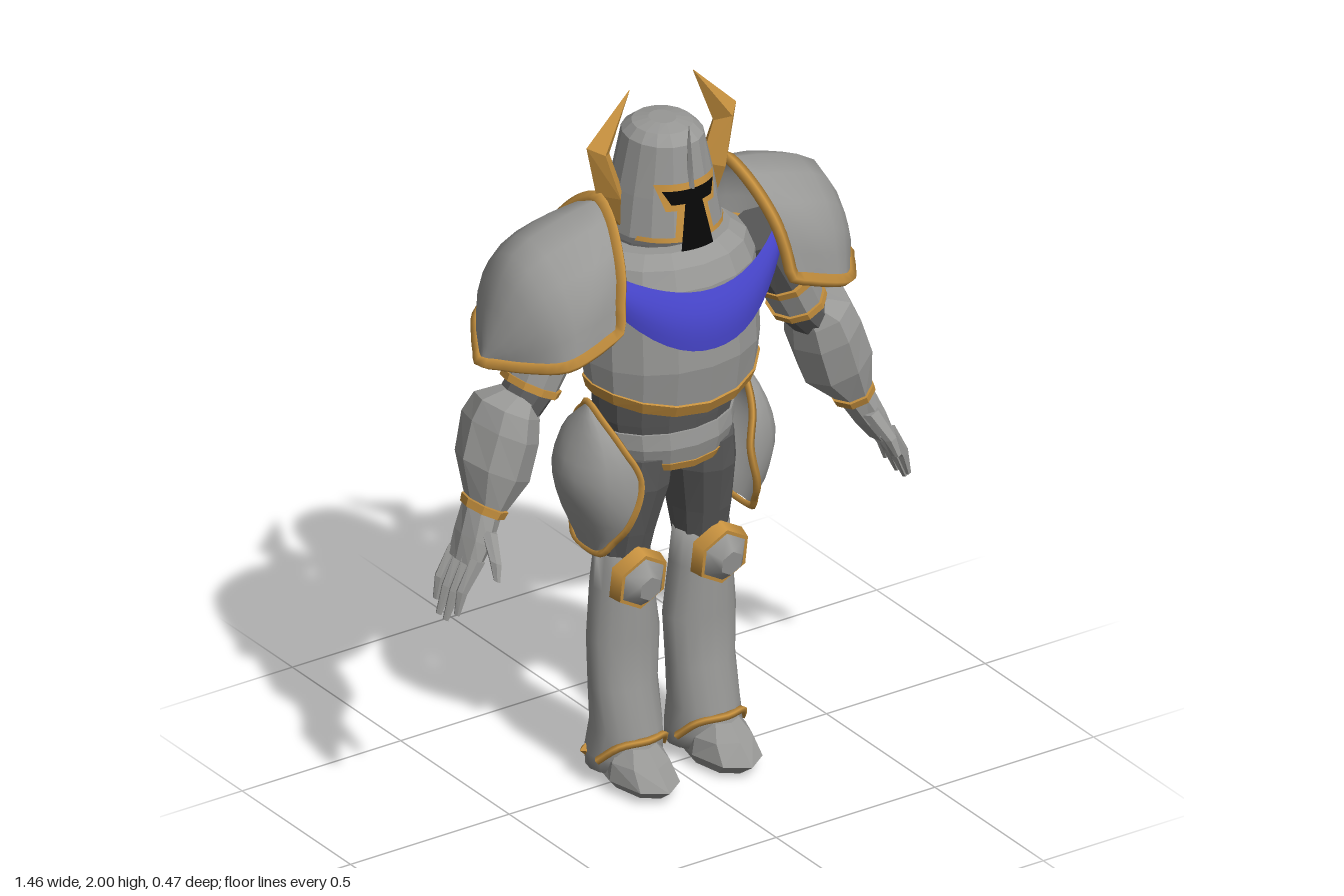
import * as THREE from 'three';

const material = (name, color) => {
  const m = new THREE.MeshStandardMaterial({ color, side: THREE.DoubleSide });
  m.name = name;
  return m;
};

// Closed skin over elliptical rings, listed bottom to top: [x, y, z, rx, rz, tilt, drop]
function loft(rings, sides = 12, smooth = false, caps = true) {
  const pos = [], index = [];
  for (const [x, y, z, rx, rz, tilt = 0, drop = 0] of rings) {
    for (let j = 0; j < sides; j++) {
      const a = (j / sides) * Math.PI * 2, c = Math.cos(a) * rx, s = Math.sin(a);
      pos.push(x + c * Math.cos(tilt), y + c * Math.sin(tilt) - drop * s * s, z + s * rz);
    }
  }
  for (let i = 0; i < rings.length - 1; i++) {
    for (let j = 0; j < sides; j++) {
      const a = i * sides + j, b = i * sides + (j + 1) % sides;
      index.push(a, a + sides, b, b, a + sides, b + sides);
    }
  }
  if (caps) {
    const top = (rings.length - 1) * sides;
    for (let j = 1; j < sides - 1; j++) index.push(0, j, j + 1, top, top + j + 1, top + j);
  }
  return build(pos, index, smooth);
}

function build(pos, index, smooth) {
  let g = new THREE.BufferGeometry();
  g.setAttribute('position', new THREE.Float32BufferAttribute(pos, 3));
  g.setIndex(index);
  if (!smooth) g = g.toNonIndexed();
  g.computeVertexNormals();
  return g;
}

// Open sheet from a point function of u, v in 0..1
function sheet(point, nu, nv) {
  const pos = [], index = [];
  for (let i = 0; i <= nv; i++)
    for (let j = 0; j <= nu; j++) pos.push(...point(j / nu, i / nv));
  for (let i = 0; i < nv; i++) {
    for (let j = 0; j < nu; j++) {
      const a = i * (nu + 1) + j, b = a + nu + 1;
      index.push(a, a + 1, b, a + 1, b + 1, b);
    }
  }
  return build(pos, index, true);
}

// Curved armour plate through rows of points, with its border as a tube
function plate(rows, rimRadius) {
  const curves = rows.map(r => new THREE.CatmullRomCurve3(r.map(p => new THREE.Vector3(...p))));
  const point = (u, v) =>
    new THREE.CatmullRomCurve3(curves.map(c => c.getPoint(u))).getPoint(v).toArray();
  const n = 10, edge = [];
  const add = (u, v) => {
    const p = new THREE.Vector3(...point(u, v));
    if (edge.every(q => q.distanceTo(p) > 0.008)) edge.push(p);
  };
  for (let i = 0; i <= n; i++) add(i / n, 0);
  for (let i = 0; i <= n; i++) add(1, i / n);
  for (let i = n; i >= 0; i--) add(0, i / n);
  const rim = new THREE.TubeGeometry(new THREE.CatmullRomCurve3(edge, true), 64, rimRadius, 4, true);
  return { skin: sheet(point, n, n), rim };
}

// Completes a row with its reflection behind the plane z = zc
const arch = (zc, ...half) =>
  [...half, ...half.slice(0, -1).reverse().map(([x, y, z]) => [x, y, 2 * zc - z])];

export function createModel() {
  const steel = material('steel', 0x989896);
  const dark = material('dark steel', 0x5a5a5a);
  const gold = material('gold', 0xc8923f);
  const blue = material('blue cloth', 0x4a48d2);
  const black = material('black', 0x070707);

  const model = new THREE.Group();
  model.name = 'armouredKnight';
  const put = (parent, name, geometry, mat) => {
    const m = new THREE.Mesh(geometry, mat);
    m.name = name;
    parent.add(m);
    return m;
  };

  // Torso
  put(model, 'waist', loft([[0, 0.95, -0.02, 0.17, 0.13], [0, 1.07, -0.02, 0.2, 0.15], [0, 1.22, -0.01, 0.215, 0.165]], 16), dark);
  put(model, 'chest', loft([
    [0, 1.19, 0.015, 0.245, 0.175, 0, 0.05], [0, 1.26, 0.01, 0.252, 0.198], [0, 1.4, 0, 0.25, 0.2],
    [0, 1.49, -0.005, 0.245, 0.2], [0, 1.545, -0.01, 0.225, 0.18], [0, 1.575, -0.02, 0.185, 0.15]], 16), steel);
  put(model, 'chestBand', loft([[0, 1.165, 0.012, 0.242, 0.17, 0, 0.05], [0, 1.2, 0.015, 0.252, 0.184, 0, 0.05]], 16), gold);
  put(model, 'collar', loft([[0, 1.56, -0.02, 0.15, 0.12], [0, 1.58, -0.02, 0.14, 0.11]], 16), dark);
  put(model, 'neck', loft([[0, 1.56, -0.02, 0.05, 0.06], [0, 1.64, -0.02, 0.05, 0.06]], 10), black);
  put(model, 'bib', sheet((u, v) => {
    const t = u * 2 - 1, a = Math.abs(t);
    const low = 1.32 + 0.16 * a ** 2.2, high = 1.49 + 0.085 * a * a;
    return [0.272 * t, low + (high - low) * v, 0.22 - 0.1 * t * t + 0.012 * Math.sin(v * Math.PI) - 0.012 * v];
  }, 16, 6), blue);

  // Hips
  put(model, 'hipBelt', loft([[0, 0.965, -0.02, 0.185, 0.145, 0, 0.015], [0, 1.0, -0.02, 0.197, 0.158], [0, 1.045, -0.02, 0.2, 0.152]], 16), steel);
  put(model, 'hipTrim', loft([[0, 0.945, -0.02, 0.175, 0.14, 0, 0.015], [0, 0.968, -0.02, 0.188, 0.15, 0, 0.015]], 16), gold);
  put(model, 'crotch', loft([[0, 0.9, -0.02, 0.03, 0.05], [0, 0.96, -0.02, 0.13, 0.13]], 12), dark);

  // Helmet
  const head = new THREE.Group();
  head.name = 'head';
  model.add(head);
  put(head, 'helmet', loft([
    [0, 1.608, -0.025, 0.157, 0.156], [0, 1.72, -0.025, 0.137, 0.139], [0, 1.86, -0.025, 0.105, 0.117],
    [0, 1.885, -0.025, 0.08, 0.085], [0, 1.895, -0.025, 0.035, 0.04]], 16), steel);
  put(head, 'helmetOpening', loft([[0, 1.604, -0.025, 0.148, 0.147], [0, 1.607, -0.025, 0.148, 0.147]], 16), black);
  const facePlate = (name, w0, w1, y0, y1, lift, mat) => put(head, name, sheet((u, v) => {
    const y = y0 + (y1 - y0) * v, x = (u * 2 - 1) * (w0 + (w1 - w0) * v);
    const r = 0.157 - (y - 1.608) * 0.175;
    return [x, y, -0.025 + lift + Math.sqrt(r * r - x * x)];
  }, 10, 3), mat);
  facePlate('visorFrame', 0.075, 0.094, 1.69, 1.762, 0.004, gold);
  facePlate('visorStemFrame', 0.062, 0.046, 1.605, 1.70, 0.004, gold);
  facePlate('helmetFrontTrim', 0.14, 0.135, 1.605, 1.618, 0.004, gold);
  facePlate('visorSlit', 0.062, 0.08, 1.708, 1.745, 0.008, black);
  facePlate('visorStem', 0.05, 0.026, 1.582, 1.712, 0.008, black);
  put(head, 'crest', loft([[0, 1.745, 0.112, 0.008, 0.012], [0, 1.8, 0.1, 0.008, 0.016], [0, 1.92, 0.098, 0.001, 0.002]], 4), steel);

  // Everything paired is made for the left and mirrored
  const left = new THREE.Group();
  left.name = 'leftSide';

  put(left, 'horn', loft([
    [0.15, 1.63, -0.03, 0.014, 0.03], [0.165, 1.72, -0.03, 0.04, 0.055],
    [0.2, 1.85, -0.03, 0.04, 0.036, 0.45], [0.1, 2.0, -0.03, 0.001, 0.001, 0.45]], 4), gold);

  // Shoulder plate
  const zc = -0.02;
  const shoulder = plate([
    arch(zc, [0.275, 1.43, 0.18], [0.24, 1.6, 0.13], [0.205, 1.715, zc]),
    arch(zc, [0.36, 1.4, 0.19], [0.34, 1.58, 0.155], [0.33, 1.69, zc]),
    arch(zc, [0.44, 1.375, 0.18], [0.46, 1.53, 0.13], [0.475, 1.63, zc]),
    arch(zc, [0.51, 1.355, 0.09], [0.535, 1.42, 0.06], [0.548, 1.46, zc]),
    arch(zc, [0.575, 1.345, zc], [0.575, 1.345, zc], [0.575, 1.345, zc])], 0.018);
  put(left, 'shoulderPlate', shoulder.skin, steel);
  put(left, 'shoulderRim', shoulder.rim, gold);

  // Hip plate
  const hip = plate([
    arch(zc, [0.238, 1.13, zc], [0.238, 1.13, zc], [0.238, 1.13, zc]),
    arch(zc, [0.205, 1.03, 0.09], [0.262, 1.04, 0.06], [0.285, 1.04, zc]),
    arch(zc, [0.172, 0.94, 0.13], [0.275, 0.94, 0.09], [0.322, 0.94, zc]),
    arch(zc, [0.2, 0.82, 0.12], [0.265, 0.83, 0.08], [0.305, 0.84, zc]),
    arch(zc, [0.238, 0.71, 0.04], [0.243, 0.71, 0.02], [0.246, 0.71, zc])], 0.011);
  put(left, 'hipPlate', hip.skin, steel);
  put(left, 'hipPlateRim', hip.rim, gold);

  // Arm
  const T = 0.47;
  put(left, 'upperArm', loft([
    [0.47, 1.17, -0.02, 0.06, 0.07, T], [0.42, 1.23, -0.02, 0.064, 0.075, T],
    [0.38, 1.31, -0.02, 0.068, 0.08, T], [0.29, 1.48, -0.02, 0.08, 0.09, T]], 10), dark);
  put(left, 'armGuard', loft([[0.422, 1.235, -0.02, 0.07, 0.085, T], [0.385, 1.31, -0.02, 0.076, 0.09, T]], 10), steel);
  for (const [x, y] of [[0.424, 1.23], [0.386, 1.308]])
    put(left, 'armBand', loft([[x, y, -0.02, 0.077, 0.092, T], [x - 0.009, y + 0.018, -0.02, 0.079, 0.094, T]], 10), gold);
  put(left, 'forearm', loft([
    [0.575, 0.945, 0, 0.055, 0.07, T], [0.54, 1.03, -0.02, 0.103, 0.11, T], [0.508, 1.13, -0.03, 0.1, 0.122, T],
    [0.49, 1.19, -0.025, 0.088, 0.1, T], [0.455, 1.22, -0.02, 0.05, 0.06, T]], 8), steel);
  put(left, 'wristBand', loft([[0.585, 0.922, 0, 0.057, 0.07, T], [0.576, 0.942, 0, 0.06, 0.075, T]], 8), gold);

  // Hand
  put(left, 'palm', loft([[0.652, 0.8, 0.015, 0.03, 0.065, T], [0.62, 0.86, 0.01, 0.042, 0.07, T], [0.585, 0.93, 0, 0.05, 0.062, T]], 8), steel);
  [[0.068, 0.025], [0.034, 0], [0, 0.003], [-0.033, 0.03]].forEach(([z, short]) =>
    put(left, 'finger', loft([
      [0.724 - short / 2, 0.655 + short, z, 0.008, 0.009, T], [0.695, 0.73 + short / 2, z, 0.017, 0.015, T],
      [0.645, 0.82, z, 0.026, 0.017, T]], 6), steel));
  put(left, 'thumb', loft([[0.632, 0.785, 0.137, 0.01, 0.01, T], [0.622, 0.83, 0.115, 0.018, 0.02, T], [0.6, 0.89, 0.05, 0.025, 0.03, T]], 6), steel);

  // Leg
  put(left, 'thigh', loft([
    [0.125, 0.62, -0.035, 0.07, 0.065], [0.118, 0.74, -0.03, 0.083, 0.095],
    [0.103, 0.88, -0.02, 0.097, 0.122], [0.097, 0.97, -0.02, 0.093, 0.13]], 12), dark);
  put(left, 'boot', loft([
    [0.125, 0.045, -0.03, 0.1, 0.088], [0.125, 0.09, -0.02, 0.106, 0.1], [0.122, 0.16, -0.015, 0.096, 0.1],
    [0.122, 0.28, -0.03, 0.098, 0.077], [0.12, 0.42, -0.032, 0.105, 0.074], [0.125, 0.57, -0.033, 0.087, 0.078],
    [0.125, 0.67, -0.03, 0.078, 0.07]], 16, true), steel);
  put(left, 'foot', loft([
    [0.125, 0.004, 0.035, 0.06, 0.115], [0.13, 0.04, 0.05, 0.088, 0.15],
    [0.13, 0.09, 0.05, 0.08, 0.095], [0.13, 0.13, 0.04, 0.052, 0.062]], 8), steel);
  const band = [[0.02, 0.085, 0.01], [0.055, 0.135, 0.06], [0.123, 0.147, 0.09], [0.192, 0.135, 0.06], [0.23, 0.085, 0.01]];
  put(left, 'bootBand', new THREE.TubeGeometry(
    new THREE.CatmullRomCurve3(band.map(p => new THREE.Vector3(...p))), 16, 0.011, 4), gold);
  const stud = put(left, 'ankleStud', new THREE.OctahedronGeometry(0.018), gold);
  stud.position.set(0.222, 0.09, -0.055);

  // Knee guard
  const knee = new THREE.Group();
  knee.name = 'kneeGuard';
  knee.position.set(0.128, 0.61, 0.055);
  knee.rotation.x = 0.15;
  left.add(knee);
  const hex = (r0, r1, h, z) =>
    new THREE.CylinderGeometry(r0, r1, h, 6).toNonIndexed().rotateX(Math.PI / 2).scale(1, 1.05, 1).translate(0, 0, z);
  put(knee, 'kneeRim', hex(0.08, 0.088, 0.04, 0), gold);
  put(knee, 'kneeCap', hex(0.035, 0.07, 0.035, 0.037), steel);

  const right = left.clone(true);
  right.name = 'rightSide';
  right.scale.x = -1;
  model.add(left, right);
  return model;
}
